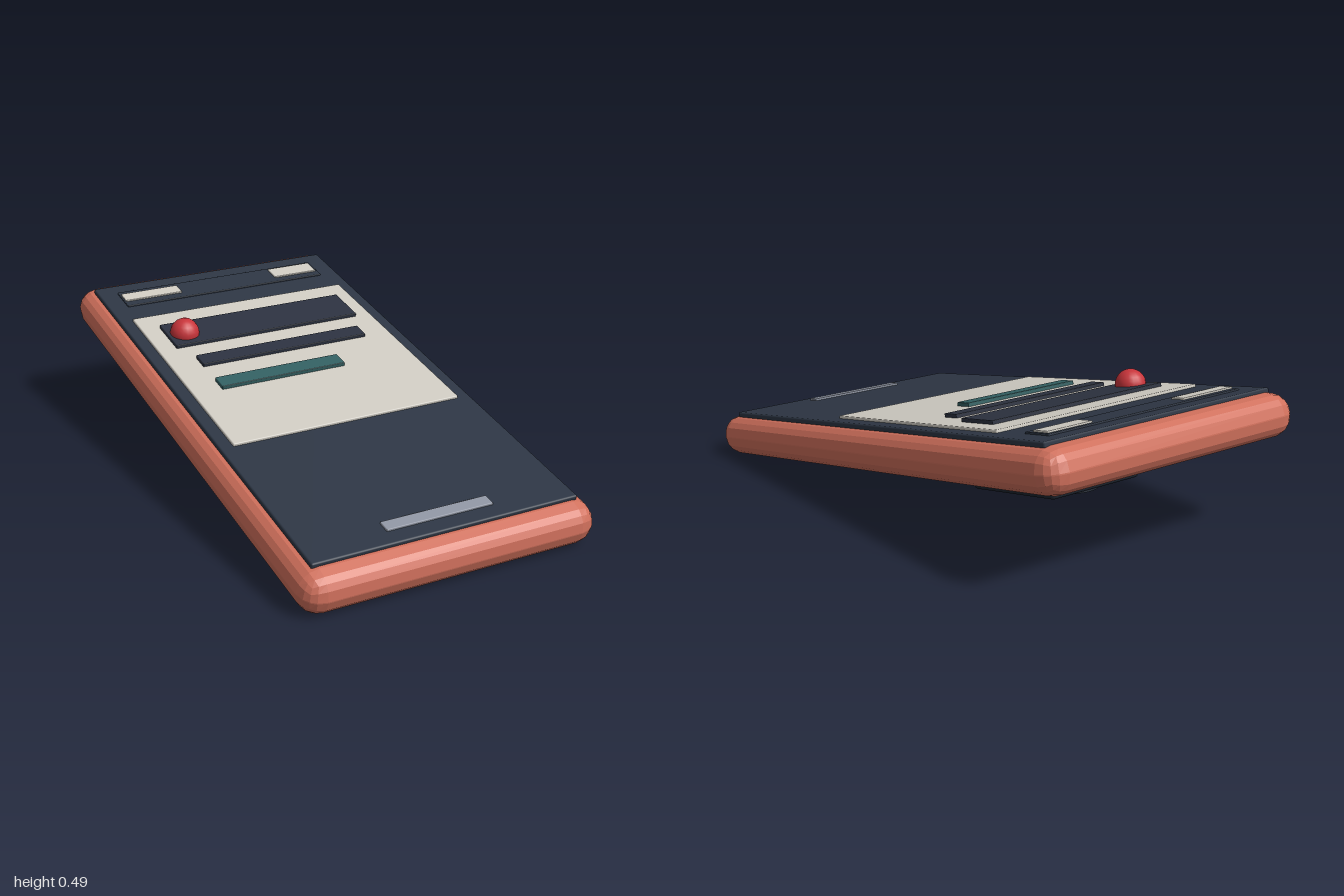
import * as THREE from 'three';
import { RoundedBoxGeometry } from 'three/addons/geometries/RoundedBoxGeometry.js';

const paint = (name, color) => {
  const m = new THREE.MeshStandardMaterial({ color });
  m.name = name;
  return m;
};

export function createModel() {
  const coral = paint('coral', 0xd0705c);
  const navy = paint('navy', 0x2d3644);
  const slate = paint('slate', 0x2c3240);
  const cream = paint('cream', 0xd0ccc3);
  const teal = paint('teal', 0x336062);
  const red = paint('red', 0xc8343a);
  const grey = paint('grey', 0x8f95a3);
  const black = paint('black', 0x1d2530);
  coral.flatShading = true;

  // Everything lies in the phone's own plane; the whole phone is tilted up at the back.
  const phone = new THREE.Group();
  phone.name = 'phone';
  phone.rotation.x = THREE.MathUtils.degToRad(10);
  phone.position.y = 0.239;

  // Slab given by its limits on each axis, with slightly softened edges.
  const slab = (name, material, [x0, x1], [y0, y1], [z0, z1], radius = 0.003, segments = 1) => {
    const geometry = new RoundedBoxGeometry(x1 - x0, y1 - y0, z1 - z0, segments, radius);
    const mesh = new THREE.Mesh(geometry, material);
    mesh.name = name;
    mesh.position.set((x0 + x1) / 2, (y0 + y1) / 2, (z0 + z1) / 2);
    phone.add(mesh);
    return mesh;
  };

  // Case and screen
  slab('case', coral, [-0.55, 0.55], [-0.077, 0.077], [-1.015, 1.015], 0.075, 2);
  slab('screen', navy, [-0.497, 0.497], [0.07, 0.091], [-0.937, 0.93], 0.006);

  // Status bar with its two labels
  slab('statusBar', navy, [-0.425, 0.42], [0.085, 0.097], [-0.87, -0.755]);
  slab('statusLeft', cream, [-0.42, -0.185], [0.09, 0.103], [-0.845, -0.788]);
  slab('statusRight', cream, [0.225, 0.41], [0.09, 0.103], [-0.855, -0.784]);

  // Content panel and the raised bars on it
  slab('panel', cream, [-0.45, 0.445], [0.085, 0.101], [-0.647, 0.268], 0.004);
  slab('headerCard', slate, [-0.38, 0.38], [0.095, 0.114], [-0.549, -0.382]);
  slab('textBar', slate, [-0.34, 0.335], [0.095, 0.114], [-0.296, -0.228]);
  slab('accentBar', teal, [-0.34, 0.155], [0.095, 0.115], [-0.128, -0.062]);
  slab('homeBar', grey, [-0.2, 0.2], [0.085, 0.099], [0.825, 0.871]);

  // Round badge half sunk into the header card
  const badge = new THREE.Mesh(new THREE.SphereGeometry(0.055, 18, 12), red);
  badge.name = 'badge';
  badge.position.set(-0.315, 0.116, -0.461);
  phone.add(badge);

  // Camera block with two lenses on the underside
  slab('cameraBlock', black, [0.045, 0.41], [-0.113, -0.07], [-0.848, -0.45], 0.012, 2);
  for (const z of [-0.742, -0.557]) {
    const lens = new THREE.Mesh(new THREE.CylinderGeometry(0.07, 0.07, 0.03, 24), black);
    lens.name = 'lens';
    lens.position.set(0.225, -0.111, z);
    phone.add(lens);
  }

  const model = new THREE.Group();
  model.name = 'model';
  model.add(phone);
  return model;
}
